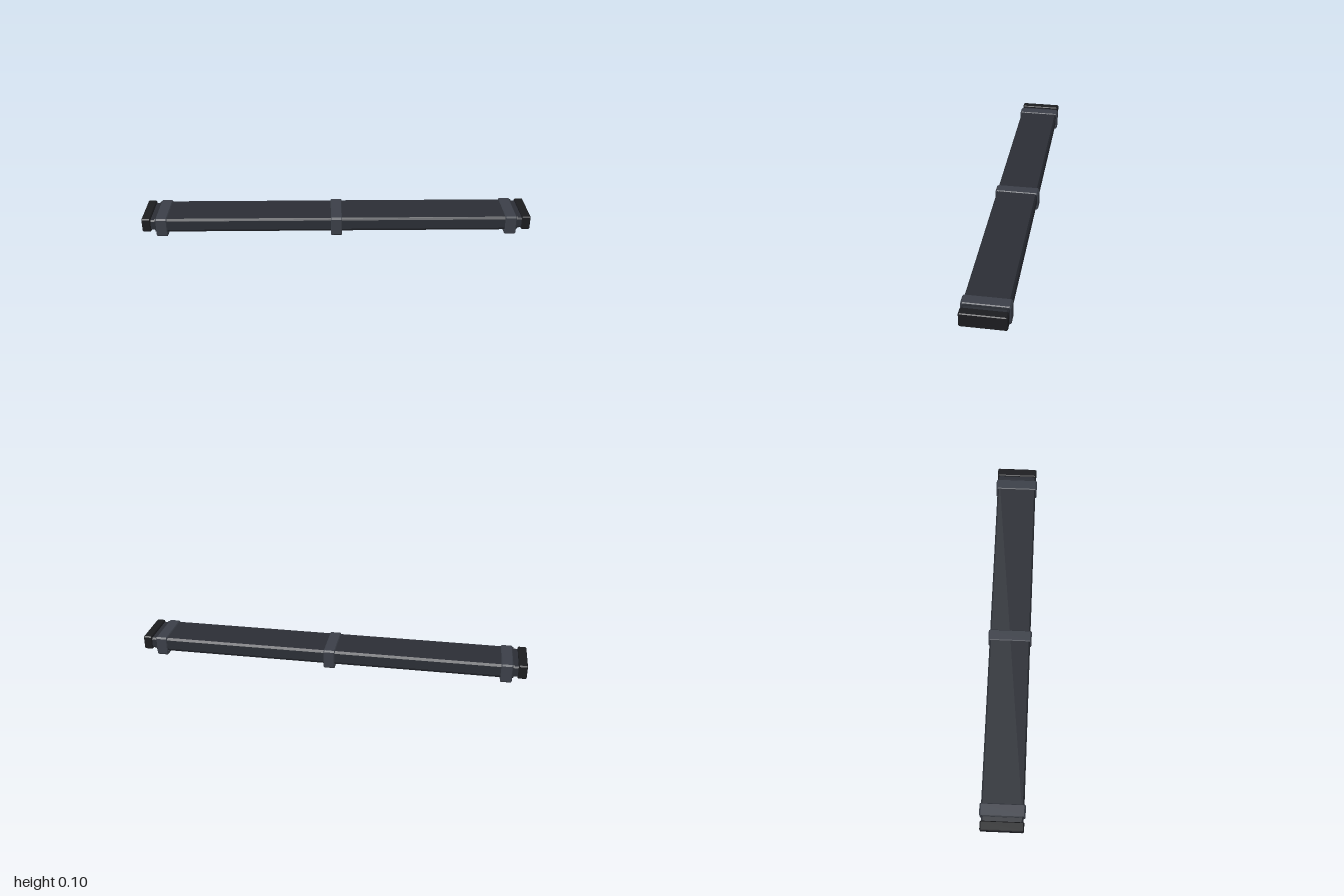
import * as THREE from 'three';

const mat = (color) => new THREE.MeshStandardMaterial({ color, flatShading: true });
const toShape = (pts) => new THREE.Shape(pts.map(([z, y]) => new THREE.Vector2(z, y)));

// Chamfered rectangle in the z/y plane
const chamferRect = (halfZ, y0, y1, c) => [
  [-halfZ + c, y0], [halfZ - c, y0], [halfZ, y0 + c], [halfZ, y1 - c],
  [halfZ - c, y1], [-halfZ + c, y1], [-halfZ, y1 - c], [-halfZ, y0 + c],
];

// Extrude a z/y section along x, centred on x; bevel shrinks inward at both ends
function prism(name, shape, x, length, material, bevel = 0) {
  const geo = new THREE.ExtrudeGeometry(shape, {
    depth: length - 2 * bevel, bevelEnabled: bevel > 0, bevelSize: bevel,
    bevelThickness: bevel, bevelOffset: -bevel, bevelSegments: 1,
  });
  geo.translate(0, 0, -length / 2 + bevel);
  geo.rotateY(Math.PI / 2);
  const mesh = new THREE.Mesh(geo, material);
  mesh.name = name;
  mesh.position.x = x;
  return mesh;
}

export function createModel() {
  const model = new THREE.Group();
  model.name = 'lightBar';
  const bodyMat = mat(0x2b2e35);
  const clampMat = mat(0x3b3f48);
  const capMat = mat(0x1b1c1f);
  const underMat = mat(0x090909);

  // Housing: chamfered upper edges, tapered lower lips, open channel beneath
  const half = [[0.08, 0.034], [0.084, 0.022], [0.097, 0.022], [0.106, 0.036],
    [0.106, 0.085], [0.098, 0.097]];
  const mirrored = half.map(([z, y]) => [-z, y]).reverse();
  model.add(prism('housing', toShape([...half, ...mirrored]), 0, 1.87, bodyMat));

  // Dark lower panel with two rails and a centre spine
  model.add(prism('lowerPanel', toShape(chamferRect(0.081, 0.028, 0.04, 0.002)), 0, 1.86, underMat));
  model.add(prism('centreSpine', toShape(chamferRect(0.009, 0.017, 0.032, 0.002)), 0, 1.88, underMat));
  for (const s of [-1, 1]) {
    const rail = prism('lowerRail', toShape(chamferRect(0.02, 0.022, 0.032, 0.002)), 0, 1.88, underMat);
    rail.position.z = s * 0.055;
    model.add(rail);
  }

  // Clamp loops around the housing
  for (const x of [-0.9, 0, 0.9]) {
    const ring = toShape(chamferRect(0.113, 0, 0.101, 0.008));
    ring.holes.push(new THREE.Path(
      chamferRect(0.103, 0.018, 0.094, 0.006).reverse().map(([z, y]) => new THREE.Vector2(z, y))));
    model.add(prism('clamp', ring, x, 0.058, clampMat, 0.004));
  }

  // Recessed necks and end caps
  for (const s of [-1, 1]) {
    model.add(prism('neck', toShape(chamferRect(0.103, 0.032, 0.09, 0.008)), s * 0.945, 0.04, bodyMat));
    model.add(prism('endCap', toShape(chamferRect(0.108, 0.026, 0.1, 0.006)), s * 0.978, 0.044, capMat, 0.004));
  }
  return model;
}
